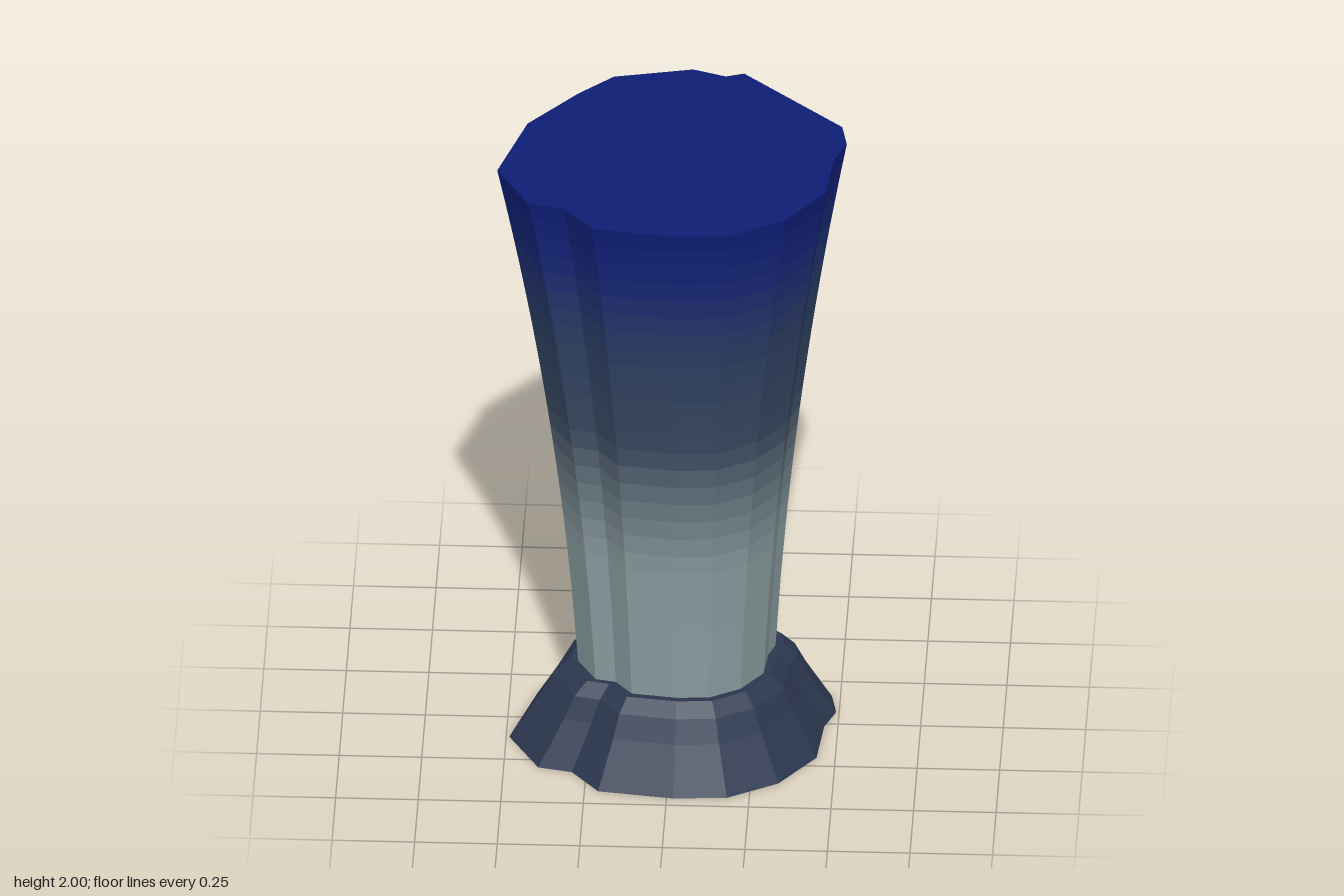
import * as THREE from 'three';

// Notched outline (x, z), seen from above at full size
const OUTLINE = [
  [0.04, -0.495], [0.14, -0.458], [0.195, -0.477], [0.505, -0.175], [0.523, -0.075], [0.488, 0.02],
  [0.472, 0.215], [0.355, 0.383], [0.193, 0.48], [0.02, 0.492], [-0.225, 0.457], [-0.315, 0.34],
  [-0.425, 0.315], [-0.527, 0.125], [-0.447, -0.155], [-0.3, -0.34], [-0.198, -0.442],
];

const material = (color) => new THREE.MeshStandardMaterial({ color, flatShading: true });

// Outline scaled about an axis that leans slightly as it narrows
const ring = (s) => OUTLINE.map(([x, z]) => [x * s + 0.03 * (1 - s), z * s]);

// Skin through scaled outlines, each level given as [height, scale]
function loft(levels) {
  const pos = [], idx = [], n = OUTLINE.length;
  for (const [y, s] of levels) for (const [x, z] of ring(s)) pos.push(x, y, z);
  for (let k = 0; k < levels.length - 1; k++) {
    for (let i = 0; i < n; i++) {
      const a = k * n + i, b = k * n + ((i + 1) % n);
      idx.push(a, b + n, b, a, a + n, b + n);
    }
  }
  const g = new THREE.BufferGeometry();
  g.setAttribute('position', new THREE.Float32BufferAttribute(pos, 3));
  g.setIndex(idx);
  g.computeVertexNormals();
  return g;
}

// Flat lid facing up (dir 1) or down (dir -1)
function cap(y, s, dir) {
  const shape = new THREE.Shape(ring(s).map(([x, z]) => new THREE.Vector2(x, -dir * z)));
  return new THREE.ShapeGeometry(shape).rotateX(-dir * Math.PI / 2).translate(0, y, 0);
}

export function createModel() {
  const group = new THREE.Group();
  const add = (name, geometry, color, parent = group) => {
    const mesh = new THREE.Mesh(geometry, material(color));
    mesh.name = name;
    parent.add(mesh);
  };

  // Flared foot with a bevelled rim
  add('foot', loft([[0, 0.935], [0.14, 0.77], [0.21, 0.7], [0.25, 0.62], [0.245, 0.55]]), 0x2c3850);
  add('footUnderside', cap(0, 0.935, -1), 0x241e1c);

  // Column widening in a curve, shading from pale grey up to deep blue
  const column = new THREE.Group();
  column.name = 'column';
  group.add(column);
  const width = (y) => {
    const t = (y - 0.25) / 1.75;
    return 0.565 + 0.2 * t + 0.235 * t * t;
  };
  const stops = [[0.7, 0x8a9c9f], [1.15, 0x3a4a62], [1.5, 0x2c3f64], [1.8, 0x16267a], [2, 0x0c1c78]];
  const colorAt = (y) => {
    let k = 0;
    while (k < stops.length - 2 && y > stops[k + 1][0]) k++;
    const [y0, c0] = stops[k], [y1, c1] = stops[k + 1];
    const t = THREE.MathUtils.clamp((y - y0) / (y1 - y0), 0, 1);
    return new THREE.Color(c0).lerp(new THREE.Color(c1), t);
  };
  const heights = [0.24, 0.5, 0.7];
  for (let i = 1; i <= 20; i++) heights.push(0.7 + 0.065 * i);
  for (let i = 0; i < heights.length - 1; i++) {
    const a = heights[i], b = heights[i + 1];
    add('columnBand', loft([[a, width(a)], [b, width(b)]]), colorAt((a + b) / 2), column);
  }

  // Flat top
  add('top', cap(2, 1, 1), 0x0e1d74);
  return group;
}
